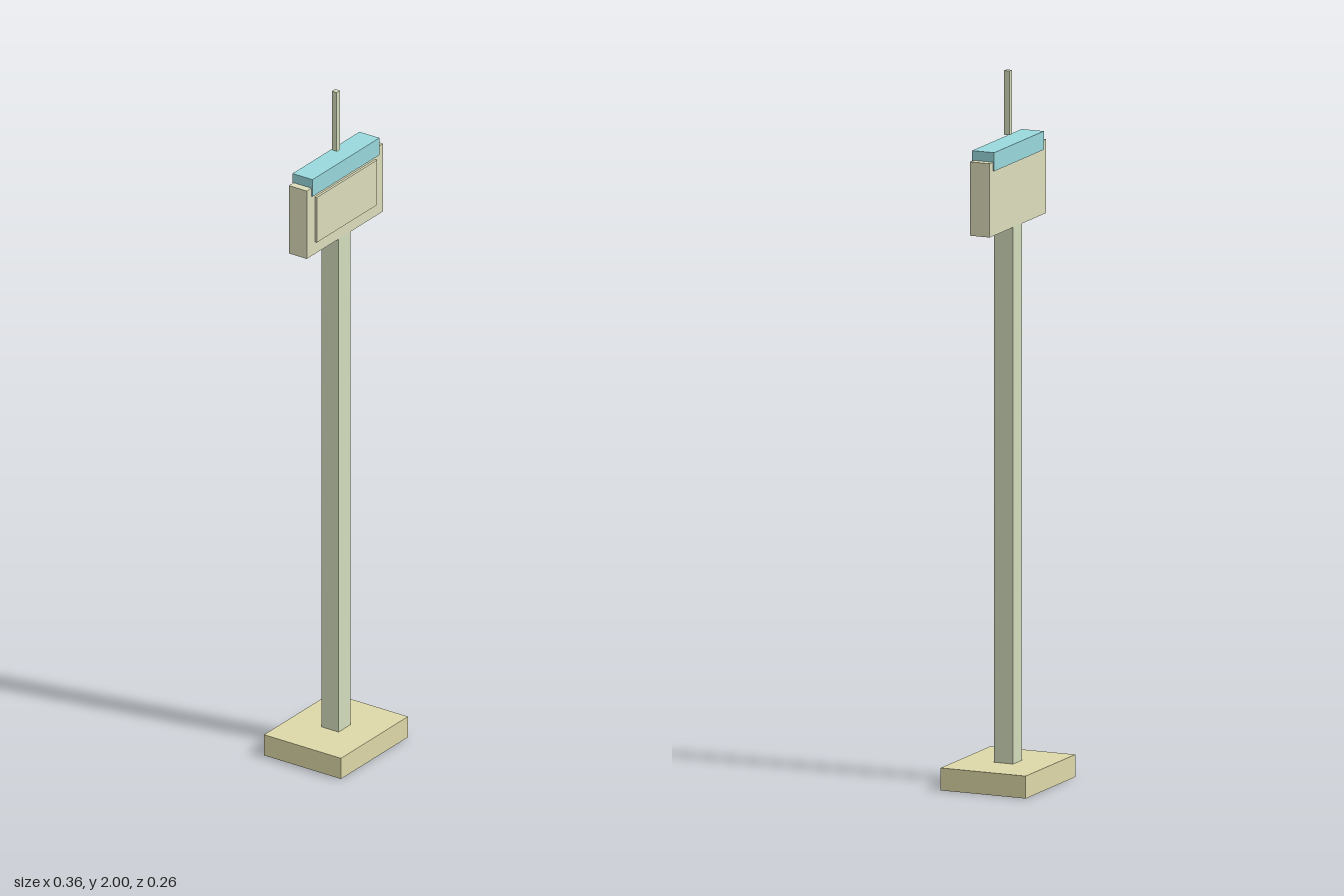
import * as THREE from 'three';

export function createModel() {
  const model = new THREE.Group();

  // Adds a box given its x/z size, its bottom and top heights, and its z centre
  function block(name, color, width, depth, bottom, top, z = 0) {
    const mesh = new THREE.Mesh(
      new THREE.BoxGeometry(width, top - bottom, depth),
      new THREE.MeshStandardMaterial({ color })
    );
    mesh.name = name;
    mesh.position.set(0, (bottom + top) / 2, z);
    model.add(mesh);
  }

  // Foot and post
  block('base', 0xddd8a8, 0.32, 0.258, 0, 0.063);
  block('post', 0xd3dcbc, 0.058, 0.058, 0.063, 1.568);

  // Sign box with a raised panel on its front
  block('signBox', 0xdcddbb, 0.364, 0.06, 1.568, 1.775);
  block('frontPanel', 0xdcddbb, 0.288, 0.008, 1.605, 1.742, 0.033);

  // Coloured cap over the sign box, with a thin mast above it
  block('cap', 0x98d8dc, 0.32, 0.067, 1.75, 1.802);
  block('mast', 0xd3dcbc, 0.016, 0.016, 1.82, 2);

  return model;
}
